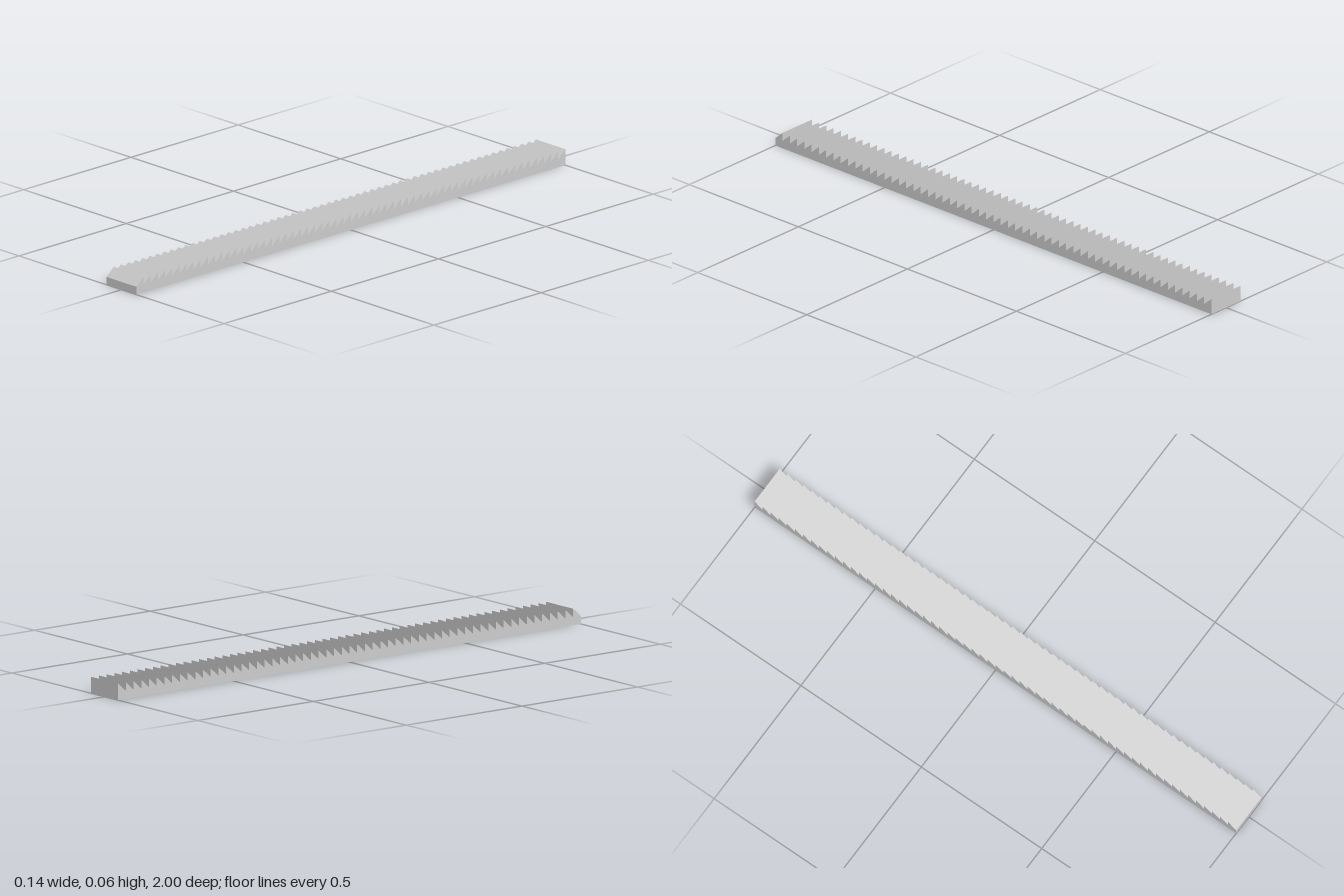
import * as THREE from 'three';

const LENGTH = 2;
const WIDTH = 0.145;
const BASE_HEIGHT = 0.028;
const TIP_HEIGHT = 0.057;
const TEETH = 60;

export function createModel() {
  const group = new THREE.Group();
  group.name = 'toothedRack';

  // Side profile: flat bar with saw teeth that ramp up towards the back
  const profile = new THREE.Shape();
  const pitch = LENGTH / TEETH;
  profile.moveTo(-LENGTH / 2, 0);
  profile.lineTo(LENGTH / 2, 0);
  for (let i = 0; i < TEETH; i++) {
    const front = LENGTH / 2 - i * pitch;
    profile.lineTo(front, BASE_HEIGHT);
    profile.lineTo(front - pitch, TIP_HEIGHT);
  }
  profile.closePath();

  // Extrude across the width, then turn the profile to run along z
  const geometry = new THREE.ExtrudeGeometry(profile, { depth: WIDTH, bevelEnabled: false });
  geometry.translate(0, 0, -WIDTH / 2);
  geometry.rotateY(-Math.PI / 2);

  const material = new THREE.MeshStandardMaterial({ color: 0xcccccc, flatShading: true });
  const rack = new THREE.Mesh(geometry, material);
  rack.name = 'sawToothBar';
  group.add(rack);
  return group;
}
